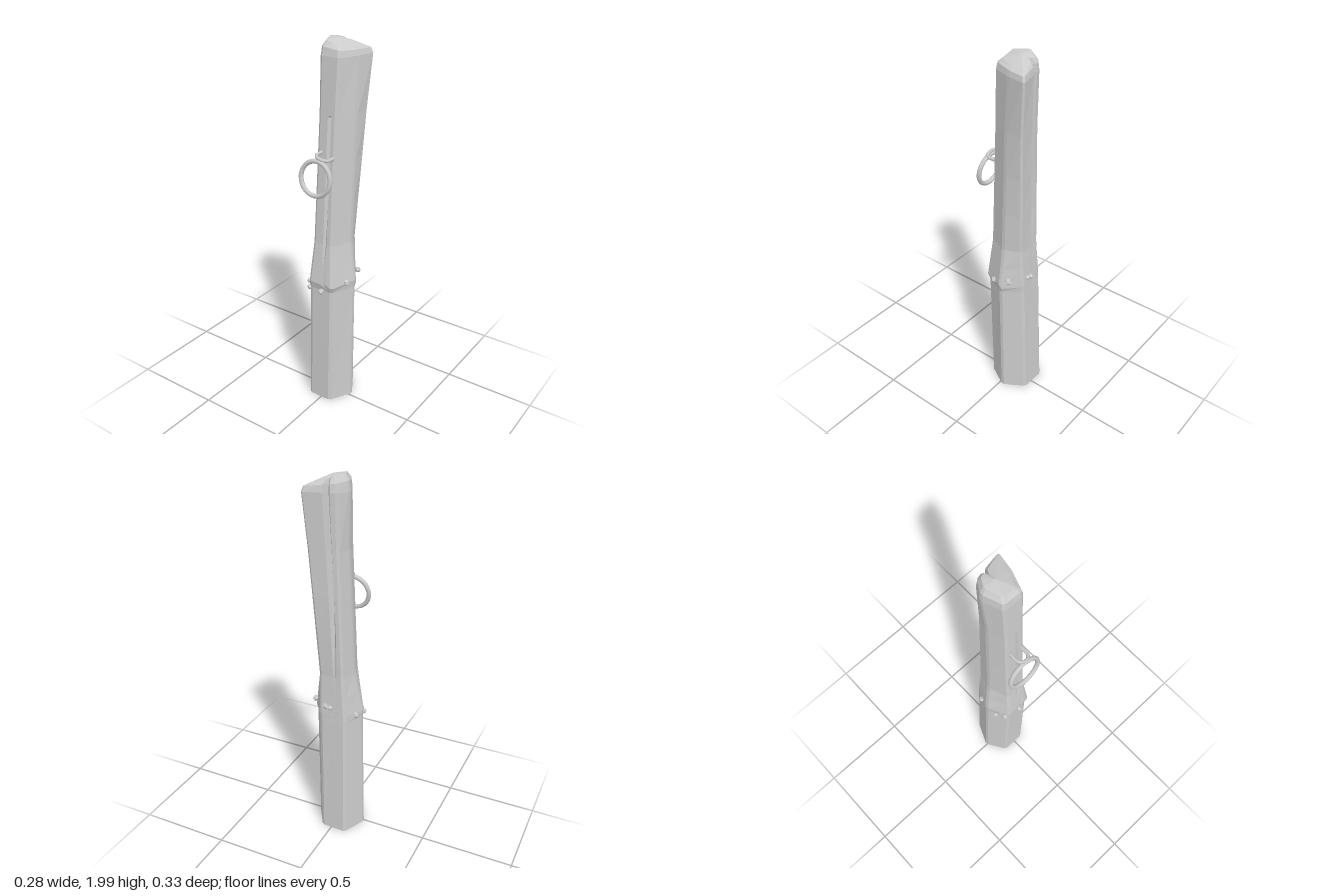
import * as THREE from 'three';

// Key outlines: [height, then x,z of left, front left, front right, right, back right, back left]
const KEYS = [
  [0, -0.145, -0.005, -0.075, 0.105, 0.055, 0.105, 0.125, -0.02, 0.055, -0.135, -0.085, -0.14],
  [0.7, -0.126, 0, -0.06, 0.108, 0.07, 0.105, 0.132, -0.02, 0.065, -0.122, -0.075, -0.122],
  [0.735, -0.13, 0, -0.063, 0.118, 0.078, 0.115, 0.14, -0.022, 0.068, -0.122, -0.075, -0.12],
  [0.96, -0.09, -0.02, -0.05, 0.09, 0.06, 0.09, 0.11, -0.022, 0.07, -0.112, -0.06, -0.115],
  [1.63, -0.065, -0.04, -0.036, 0.058, 0.065, 0.058, 0.112, -0.045, 0.112, -0.143, -0.04, -0.12],
  [1.91, -0.075, -0.06, -0.036, 0.045, 0.072, 0.045, 0.111, -0.06, 0.13, -0.166, -0.037, -0.126],
];
const LEVELS = [0, 0.7, 0.735, 0.85, 0.96, 1.18, 1.4, 1.625, 1.635, 1.91];
const APEX = new THREE.Vector3(0.012, 1.985, -0.057);
const { smoothstep, lerp } = THREE.MathUtils;

// The six corners at any height, blended between the key outlines
function cornersAt(y) {
  const k = Math.max(1, KEYS.findIndex((key) => key[0] >= y));
  const a = KEYS[k - 1], b = KEYS[k];
  const t = (y - a[0]) / (b[0] - a[0]);
  return Array.from({ length: 6 }, (_, i) => new THREE.Vector3(
    lerp(a[i * 2 + 1], b[i * 2 + 1], t), y, lerp(a[i * 2 + 2], b[i * 2 + 2], t)));
}

// Chamfered hexagon with a front crack and a back groove
function section(y) {
  const corners = cornersAt(y);
  const crack = y < 1.63 ? 0.02 * smoothstep(y, 0.82, 1.1) : 0;
  const groove = 0.03 * smoothstep(y, 0.9, 1.4);
  const points = [];
  const toward = (a, b) => a.clone().add(b.clone().sub(a).setLength(0.01));
  corners.forEach((c, i) => {
    const next = corners[(i + 1) % 6];
    points.push(toward(c, corners[(i + 5) % 6]), toward(c, next));
    if (i !== 1 && i !== 4) return;
    const [middle, dz] = i === 1 ? [0.62, -crack] : [0.7, groove];
    for (const s of [-1, 0, 1]) {
      const p = c.clone().lerp(next, middle + s * 0.1);
      if (s === 0) p.z += dz;
      points.push(p);
    }
  });
  return points;
}

// Loft through the levels, closed by a flat base and a pointed crown
function postGeometry() {
  const rings = LEVELS.map(section);
  const shoulder = rings[rings.length - 1];
  const n = shoulder.length;
  // Uneven lower lip of the collar
  rings[2].forEach((p, i) => { p.y += 0.012 * Math.sin(i * 2.3); });
  // Rounded crown, higher towards the left of the front view
  for (const [scale, y, slope] of [[0.93, 1.947, 0.12], [0.72, 1.968, 0.28]]) {
    rings.push(shoulder.map((p) => {
      const q = p.clone().sub(APEX).multiplyScalar(scale).add(APEX);
      q.y = y + slope * (0.02 - q.x);
      return q;
    }));
  }
  const pos = [];
  const tri = (...v) => v.forEach((p) => pos.push(p.x, p.y, p.z));
  const top = rings[rings.length - 1];
  const base = new THREE.Vector3(-0.01, 0, -0.02);
  for (let i = 0; i < n; i++) {
    const j = (i + 1) % n;
    for (let r = 0; r < rings.length - 1; r++) {
      const lo = rings[r], hi = rings[r + 1];
      tri(lo[i], lo[j], hi[j]);
      tri(lo[i], hi[j], hi[i]);
    }
    tri(top[i], top[j], APEX);
    tri(base, rings[0][j], rings[0][i]);
  }
  const g = new THREE.BufferGeometry();
  g.setAttribute('position', new THREE.Float32BufferAttribute(pos, 3));
  g.computeVertexNormals();
  return g;
}

export function createModel() {
  const group = new THREE.Group();
  const grey = new THREE.MeshStandardMaterial({ color: 0xcccccc });
  grey.name = 'paleGrey';
  const add = (name, geometry) => {
    const mesh = new THREE.Mesh(geometry, grey);
    mesh.name = name;
    group.add(mesh);
    return mesh;
  };

  add('post', postGeometry());

  // Staple holding the ring, slanting down to the right
  const bend = [[-0.015, 0.04], [-0.015, 0.11], [0.003, 0.13], [0.034, 0.13], [0.052, 0.11], [0.052, 0.04]]
    .map(([x, z]) => new THREE.Vector3(x, 1.443 - 0.3 * x, z));
  const path = new THREE.CurvePath();
  for (let i = 0; i < bend.length - 1; i++) path.add(new THREE.LineCurve3(bend[i], bend[i + 1]));
  add('staple', new THREE.TubeGeometry(path, 30, 0.009, 6, false));

  // Hanging ring, tilted outward at the bottom
  const ring = add('ring', new THREE.TorusGeometry(0.087, 0.012, 8, 32));
  ring.position.set(0.002, 1.337, 0.143);
  ring.rotation.x = -0.13;

  // Small nail heads around the collar, higher at the back
  const nails = [[-0.107, 0.052], [-0.075, 0.094], [0.012, 0.116], [0.118, 0.035],
    [0.122, -0.065], [0.01, -0.124], [0.035, -0.124], [-0.11, -0.057]];
  nails.forEach(([x, z], i) => {
    const nail = add('nailHead', new THREE.DodecahedronGeometry(0.015, 0));
    nail.position.set(x, 0.735 + 0.2 * x - 0.35 * z, z);
    nail.rotation.set(i, i * 2, 0);
    nail.scale.y = 1.2;
  });
  return group;
}
